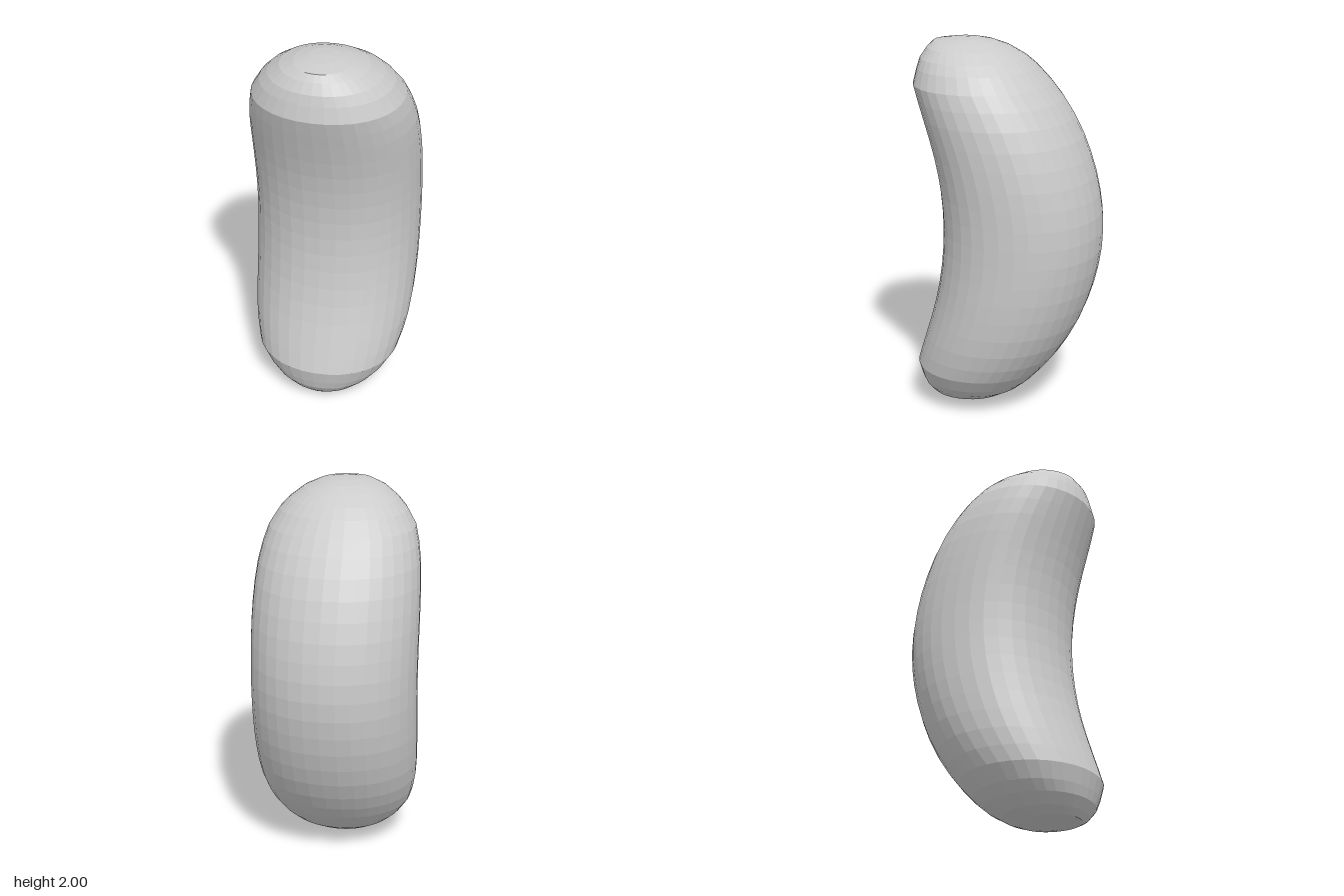
import * as THREE from 'three';

// Upper half of the bean: [height, front z, back z, half width], middle to tip
const HALF = [
  [1.0, 0.34, -0.5, 0.44], [1.1, 0.343, -0.495, 0.44], [1.2, 0.352, -0.48, 0.44],
  [1.3, 0.367, -0.457, 0.44], [1.4, 0.388, -0.425, 0.438], [1.5, 0.415, -0.385, 0.434],
  [1.6, 0.446, -0.333, 0.425], [1.69, 0.475, -0.275, 0.408], [1.77, 0.5, -0.212, 0.385],
  [1.85, 0.482, -0.138, 0.335], [1.9, 0.468, -0.08, 0.287], [1.95, 0.435, 0.005, 0.22],
  [1.98, 0.405, 0.08, 0.145], [1.994, 0.32, 0.145, 0.08], [2.0, 0.225, 0.225, 0],
];
const SIDES = 36;

// Signed power, for a slightly squared oval
const bulge = (v) => Math.sign(v) * Math.abs(v) ** (2 / 2.1);

function beanGeometry() {
  // Mirror the half profile about the middle height
  const lower = HALF.slice(1).reverse().map(([y, f, b, w]) => [2 - y, f, b, w]);
  const rings = [...lower, ...HALF];
  const positions = [];
  const index = [];

  for (const [y, front, back, width] of rings) {
    for (let j = 0; j < SIDES; j++) {
      const a = (j / SIDES) * Math.PI * 2;
      positions.push(
        width * bulge(Math.cos(a)),
        y,
        (front + back) / 2 + ((front - back) / 2) * bulge(Math.sin(a)),
      );
    }
  }

  // Join neighbouring rings; the tips need only one triangle per side
  const last = rings.length - 2;
  for (let i = 0; i <= last; i++) {
    for (let j = 0; j < SIDES; j++) {
      const k = (j + 1) % SIDES;
      const a = i * SIDES + j, b = i * SIDES + k;
      const c = a + SIDES, d = b + SIDES;
      if (i > 0) index.push(a, c, b);
      if (i < last) index.push(b, c, d);
      else continue;
    }
  }

  const geometry = new THREE.BufferGeometry();
  geometry.setAttribute('position', new THREE.Float32BufferAttribute(positions, 3));
  geometry.setIndex(index);
  const faceted = geometry.toNonIndexed();
  faceted.computeVertexNormals();
  return faceted;
}

export function createModel() {
  const group = new THREE.Group();
  group.name = 'bean';
  const material = new THREE.MeshStandardMaterial({ color: 0xcccccc, flatShading: true });
  const body = new THREE.Mesh(beanGeometry(), material);
  body.name = 'beanBody';
  group.add(body);
  return group;
}
